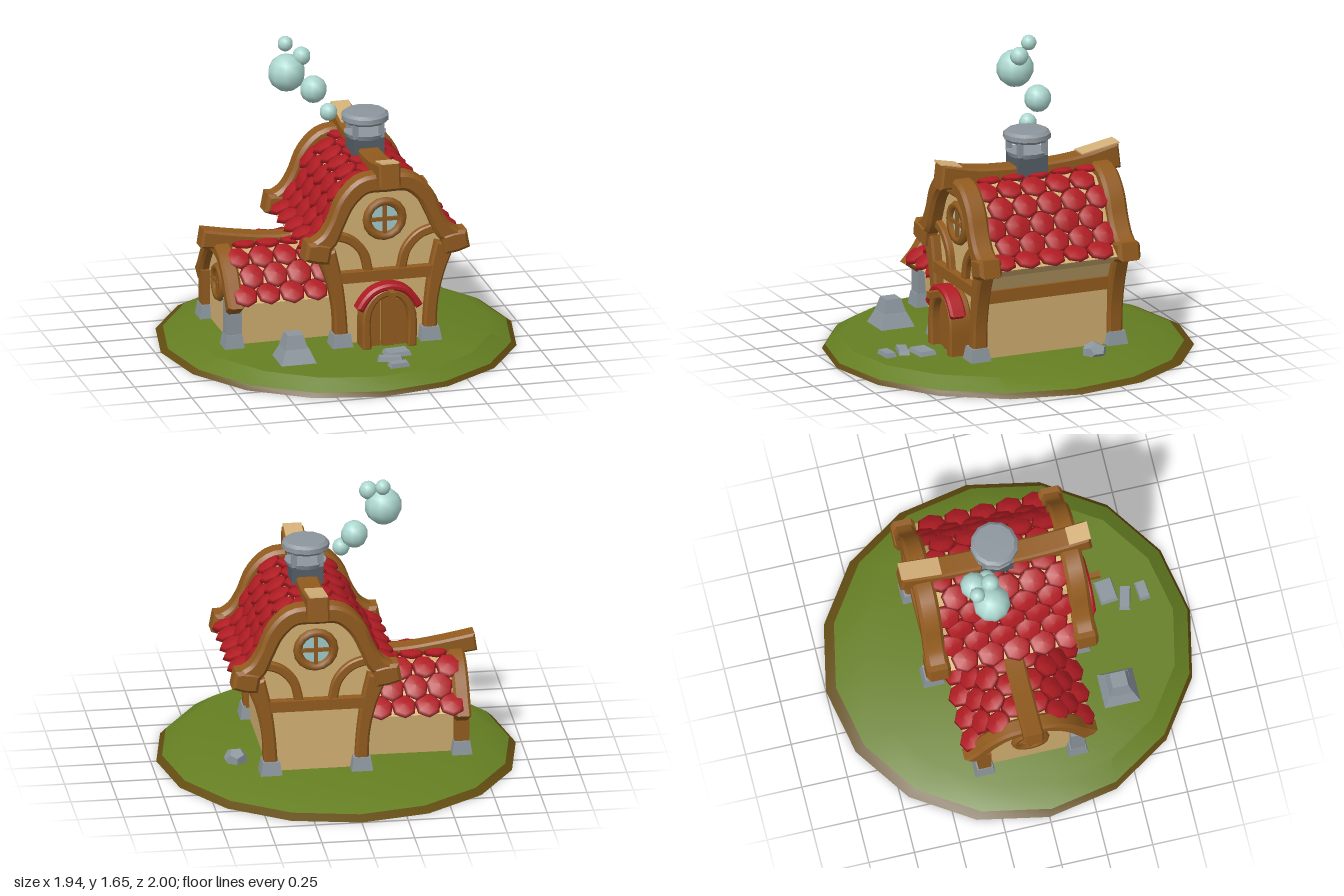
import * as THREE from 'three';
import { mergeGeometries, toCreasedNormals } from 'three/addons/utils/BufferGeometryUtils.js';

const mat = (name, color) => Object.assign(new THREE.MeshStandardMaterial({ color }), { name });
const M = {
  wood: mat('wood', 0x925b1e), pale: mat('sawnWood', 0xd4b078), plaster: mat('plaster', 0xd2b072),
  red: mat('redTile', 0xb01c23), stone: mat('stone', 0x8c969d), dark: mat('darkStone', 0x555e65),
  grass: mat('grass', 0x657f22), earth: mat('earth', 0x624c10), glass: mat('glass', 0x9fcaca),
  smoke: mat('smoke', 0xacd7cf),
};

function add(parent, name, geo, material, x = 0, y = 0, z = 0) {
  const m = new THREE.Mesh(geo, material);
  m.name = name;
  m.position.set(x, y, z);
  parent.add(m);
  return m;
}
function group(parent, name) {
  const g = new THREE.Group();
  g.name = name;
  parent.add(g);
  return g;
}
const box = (w, h, d) => new THREE.BoxGeometry(w, h, d);
const mirror = (half) => [...half.slice(1).reverse().map(([x, ...r]) => [-x, ...r]), ...half];

// Curved timber through [x, y, width] points, extruded to a depth centred on z
function beam(pts, depth, b = 0.012, n = 18) {
  const curve = new THREE.CatmullRomCurve3(pts.map((p) => new THREE.Vector3(...p)), false, 'centripetal');
  const up = [], down = [];
  for (let i = 0; i <= n; i++) {
    const p = curve.getPoint(i / n), t = curve.getTangent(i / n);
    const k = p.z / 2 / Math.hypot(t.x, t.y);
    up.push(new THREE.Vector2(p.x - t.y * k, p.y + t.x * k));
    down.push(new THREE.Vector2(p.x + t.y * k, p.y - t.x * k));
  }
  const g = new THREE.ExtrudeGeometry(new THREE.Shape([...down, ...up.reverse()]), {
    depth: depth - 2 * b, bevelEnabled: true, bevelThickness: b, bevelSize: b, bevelOffset: -b, bevelSegments: 1,
  });
  g.translate(0, 0, -depth / 2 + b);
  return toCreasedNormals(g, 0.6);
}
const ridgeBeam = (pts, depth, b) => beam(pts, depth, b).rotateY(-Math.PI / 2);

// Solid house body: half outline mirrored and extruded from z0 to z1
function body(half, z0, z1) {
  const pts = [...half, ...half.slice(0, -1).reverse().map(([x, y]) => [-x, y])];
  const s = new THREE.Shape(pts.map(([x, y]) => new THREE.Vector2(x, y)));
  return new THREE.ExtrudeGeometry(s, { depth: z1 - z0, bevelEnabled: false }).translate(0, 0, z0);
}

// Rows of pillow-like scales following a roof profile on both slopes
function tiles(profile, rows, cols, pitch, zMid, halfLength) {
  const tile = new THREE.LatheGeometry(
    [[0.5, -0.6], [1, -0.1], [0.8, 0.7], [0, 1]].map(([x, y]) => new THREE.Vector2(x, y)), 7);
  const curve = new THREE.CatmullRomCurve3(profile.map(([x, y]) => new THREE.Vector3(x, y, 0)), false, 'centripetal');
  const out = [];
  for (const side of [1, -1]) for (let r = 0; r < rows; r++) for (let c = 0; c < cols; c++) {
    const u = (r + 0.5) / rows;
    const p = curve.getPointAt(u), t = curve.getTangentAt(u);
    const wob = Math.sin(r * 5.1 + c * 3.7 + side);
    const nrm = new THREE.Vector3(-t.y * side, t.x, 0);
    const m = new THREE.Matrix4().makeBasis(
      new THREE.Vector3(0, 0, -side), nrm, new THREE.Vector3(t.x * side, t.y, 0));
    const tilt = new THREE.Matrix4().makeRotationX(-0.12 + wob * 0.05);
    const size = new THREE.Matrix4().makeScale(pitch * (0.55 + wob * 0.02), 0.022, halfLength);
    m.multiply(tilt).multiply(size);
    const z = zMid + (c - (cols - 1) / 2) * pitch + (r % 2 ? 0.22 : -0.22) * pitch;
    m.setPosition(p.x * side + nrm.x * 0.012, p.y + nrm.y * 0.012, z);
    out.push(tile.clone().applyMatrix4(m));
  }
  return mergeGeometries(out);
}

// Round window with a cross of glazing bars, facing +z
function roundWindow(parent, y, z, r) {
  const g = group(parent, 'roundWindow');
  g.position.set(0, y, z);
  add(g, 'windowGlass', new THREE.CylinderGeometry(r, r, 0.008, 16).rotateX(Math.PI / 2), M.glass, 0, 0, 0.006);
  add(g, 'windowFrame', new THREE.TorusGeometry(r, r * 0.25, 6, 16), M.wood, 0, 0, 0.012);
  add(g, 'glazingBarUpright', box(r * 0.2, r * 1.9, 0.02), M.wood, 0, 0, 0.015);
  add(g, 'glazingBarLevel', box(r * 1.9, r * 0.2, 0.02), M.wood, 0, 0, 0.015);
}

// Four-sided tapered stone
function block(top, bottom, h) {
  const g = new THREE.CylinderGeometry(top, bottom, h, 4).rotateY(Math.PI / 4).toNonIndexed();
  g.computeVertexNormals();
  return g;
}

// Timber-framed end of the main house
function mainGable(parent, name) {
  const g = group(parent, name);
  add(g, 'gableArch', beam(mirror([[0, 0.995, 0.1], [0.125, 0.988, 0.1], [0.217, 0.905, 0.095], [0.275, 0.78, 0.085],
    [0.325, 0.69, 0.1], [0.41, 0.635, 0.1]]), 0.115, 0.018, 36), M.wood, 0, 0, 0.405);
  add(g, 'crossBeam', box(0.54, 0.06, 0.06), M.wood, 0, 0.47, 0.405);
  for (const s of [-1, 1]) {
    const post = [[0.245, 0.12, 0.075], [0.255, 0.3, 0.07], [0.285, 0.47, 0.085], [0.33, 0.62, 0.11]];
    const brace = [[0.29, 0.71, 0.05], [0.19, 0.675, 0.05], [0.12, 0.6, 0.05], [0.09, 0.49, 0.05]];
    add(g, 'cornerPost', beam(post.map(([x, ...r]) => [s * x, ...r]), 0.085), M.wood, 0, 0, 0.395);
    add(g, 'curvedBrace', beam(brace.map(([x, ...r]) => [s * x, ...r]), 0.05, 0.008), M.wood, 0, 0, 0.395);
    add(g, 'archEnd', beam([[s * 0.31, 0.62, 0.11], [s * 0.38, 0.633, 0.12], [s * 0.45, 0.646, 0.1]], 0.13, 0.018, 4), M.wood, 0, 0, 0.405);
    add(g, 'footStone', block(0.065, 0.085, 0.085), M.stone, s * 0.245, 0.115, 0.4);
  }
  roundWindow(g, 0.78, 0.39, 0.098);
  return g;
}

function buildGround(parent) {
  const ring = (pts) => {
    const g = new THREE.LatheGeometry(pts.map(([x, y]) => new THREE.Vector2(x, y)), 16);
    const p = g.attributes.position;
    for (let i = 0; i < p.count; i++) p.setZ(i, p.getZ(i) + p.getY(i) * 0.8);
    return toCreasedNormals(g.scale(0.97, 1, 1), 0.5);
  };
  add(parent, 'earthBase', ring([[0, 0], [1, 0], [0.965, 0.025]]), M.earth);
  add(parent, 'grassTop', ring([[0.965, 0.025], [0.84, 0.083], [0, 0.088]]), M.grass);
}

function buildMain(parent) {
  const h = group(parent, 'mainHouse');
  h.position.set(0.17, 0, -0.035);
  const roof = [[0, 1.01], [0.13, 0.985], [0.215, 0.9], [0.275, 0.78], [0.34, 0.68], [0.43, 0.62]];
  add(h, 'mainWalls', body([[0, 0.07], [0.25, 0.07], [0.265, 0.45], [0.31, 0.55], [0.42, 0.61], ...roof.slice(1).reverse(), roof[0]],
    -0.385, 0.385), M.plaster);
  add(h, 'mainRoofTiles', tiles(roof, 6, 5, 0.142, 0, 0.076), M.red);
  mainGable(h, 'frontGable');
  mainGable(h, 'backGable').rotation.y = Math.PI;
  for (const s of [-1, 1]) add(h, 'sideBeam', box(0.05, 0.07, 0.74), M.wood, s * 0.265, 0.435, 0);
  add(h, 'ridgeBeam', ridgeBeam(mirror([[0, 1.02, 0.1], [0.3, 1.035, 0.1], [0.52, 1.06, 0.14]]), 0.12), M.wood);
  for (const [s, end, y] of [[1, 0.4, 1.106], [-1, 0.3, 1.09]]) {
    const plate = add(h, 'sawnRidgeEnd', ridgeBeam([[-0.52, 1.131, 0.009], [-end, y, 0.009]], 0.1, 0.001), M.pale);
    if (s > 0) plate.rotation.y = Math.PI;
  }

  // Doorway with planked door and tiled hood
  const d = group(h, 'doorway');
  add(d, 'doorFrame', beam(mirror([[0, 0.395, 0.045], [0.07, 0.37, 0.045], [0.12, 0.29, 0.045], [0.125, 0.08, 0.05]]), 0.13, 0.01, 28),
    M.wood, 0, 0, 0.45);
  [[-0.07, 0.34], [0, 0.38], [0.07, 0.34]].forEach(([x, top]) =>
    add(d, 'doorPlank', box(0.062, top - 0.08, 0.03), M.wood, x, (top + 0.08) / 2, 0.45 + (x ? 0 : 0.01)));
  add(d, 'doorHood', beam(mirror([[0, 0.425, 0.04], [0.08, 0.405, 0.04], [0.13, 0.36, 0.04], [0.165, 0.305, 0.04]]), 0.09, 0.012, 24),
    M.red, 0, 0, 0.475);
  add(d, 'hoodBracket', box(0.03, 0.035, 0.09), M.wood, 0, 0.4, 0.535);

  // Chimney
  const c = group(h, 'chimney');
  add(c, 'chimneyStack', box(0.17, 0.14, 0.17), M.dark, 0, 1.06, 0);
  add(c, 'chimneyCollar', new THREE.CylinderGeometry(0.115, 0.105, 0.025, 12), M.stone, 0, 1.13, 0);
  for (const x of [-1, 1]) for (const z of [-1, 1])
    add(c, 'chimneyPost', box(0.028, 0.09, 0.028), M.stone, x * 0.072, 1.17, z * 0.072);
  add(c, 'chimneyCap', toCreasedNormals(new THREE.LatheGeometry([[0, 1.2], [0.115, 1.2], [0.13, 1.215], [0.128, 1.24], [0.11, 1.255], [0, 1.258]]
    .map(([x, y]) => new THREE.Vector2(x, y)), 12), 0.6), M.stone);
}

function buildWing(parent) {
  // Local +z is the wing's outer end, world -x
  const w = group(parent, 'sideWing');
  w.position.z = -0.03;
  w.rotation.y = -Math.PI / 2;
  const roof = [[0, 0.58], [0.12, 0.555], [0.21, 0.48], [0.28, 0.39], [0.34, 0.34]];
  add(w, 'wingWalls', body([[0, 0.07], [0.24, 0.07], [0.26, 0.33], [0.33, 0.336], ...roof.slice(1).reverse(), roof[0]], 0, 0.63), M.plaster);
  add(w, 'wingRoofTiles', tiles(roof, 4, 4, 0.13, 0.355, 0.08), M.red);
  add(w, 'wingArch', beam(mirror([[0, 0.56, 0.075], [0.12, 0.54, 0.075], [0.215, 0.46, 0.075], [0.275, 0.37, 0.08], [0.325, 0.3, 0.1]]),
    0.09, 0.015, 30), M.wood, 0, 0, 0.635);
  add(w, 'wingRidgeBeam', ridgeBeam([[0.15, 0.575, 0.08], [0.35, 0.575, 0.08], [0.55, 0.595, 0.09], [0.745, 0.625, 0.1]], 0.11), M.wood);
  add(w, 'stonePost', box(0.075, 0.24, 0.085), M.stone, 0.255, 0.23, 0.635);
  add(w, 'woodenPost', box(0.07, 0.24, 0.08), M.wood, -0.255, 0.23, 0.635);
  for (const s of [-1, 1]) add(w, 'footStone', block(0.062, 0.08, 0.085), M.stone, s * 0.255, 0.115, 0.635);
  roundWindow(w, 0.36, 0.632, 0.085);
}

function buildRocks(parent) {
  const r = group(parent, 'rocks');
  add(r, 'tallRockBase', block(0.09, 0.14, 0.08), M.stone, -0.37, 0.12, 0.52);
  add(r, 'tallRockTop', block(0.06, 0.09, 0.075), M.stone, -0.375, 0.195, 0.52);
  add(r, 'smallRock', new THREE.DodecahedronGeometry(0.065, 0), M.stone, 0.575, 0.1, -0.25).scale.set(1, 0.85, 1.1);
  [[0.18, 0.58, 0.14, 0.1, 0.1], [0.12, 0.67, 0.14, 0.06, -0.25], [0.14, 0.77, 0.11, 0.06, 0.1]].forEach(([x, z, sx, sz, a]) => {
    const s = add(r, 'pathStone', block(0.6, 0.7, 0.025), M.stone, x, 0.095, z);
    s.scale.set(sx, 1, sz);
    s.rotation.y = a;
  });
}

function buildSmoke(parent) {
  const g = group(parent, 'smoke');
  [[-0.01, 1.235, -0.12, 0.048], [-0.07, 1.34, -0.205, 0.074], [-0.235, 1.47, -0.145, 0.102],
    [-0.155, 1.56, -0.135, 0.05], [-0.222, 1.607, -0.22, 0.042]].forEach(([x, y, z, r]) =>
    add(g, 'smokePuff', new THREE.SphereGeometry(r, 10, 7), M.smoke, x, y, z));
}

export function createModel() {
  const model = new THREE.Group();
  model.name = 'cottage';
  [buildGround, buildMain, buildWing, buildRocks, buildSmoke].forEach((f) => f(model));
  return model;
}
